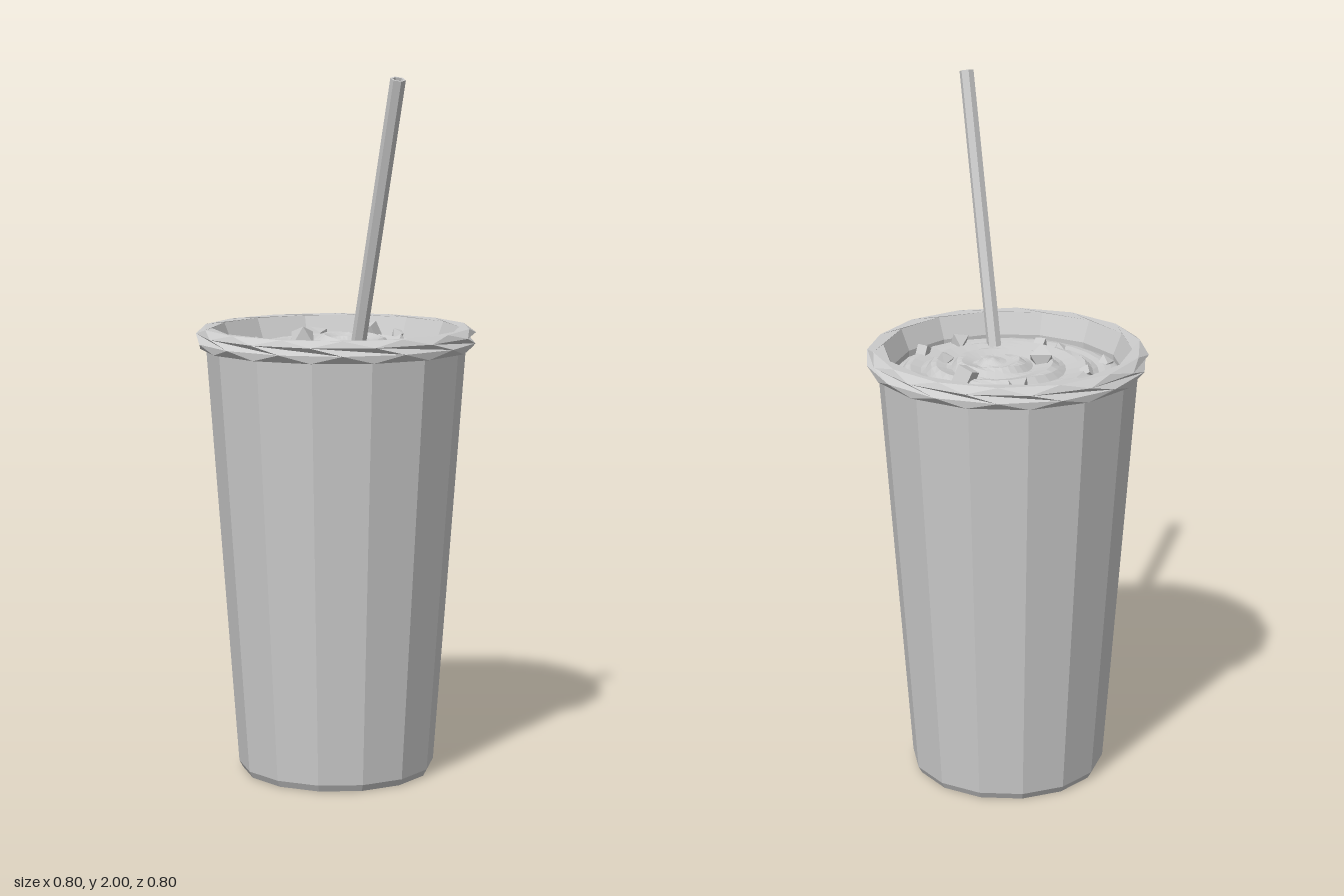
import * as THREE from 'three';

const SIDES = 14;
const material = new THREE.MeshStandardMaterial({ color: 0xcccccc, flatShading: true, side: THREE.DoubleSide });

function add(group, name, geometry) {
  const mesh = new THREE.Mesh(geometry, material);
  mesh.name = name;
  group.add(mesh);
  return mesh;
}

// Surface through rings of points; at(ring, turn) gives [x, y, z]
function rings(count, sides, at) {
  const pos = [], index = [];
  for (let i = 0; i < count; i++)
    for (let j = 0; j < sides; j++) pos.push(...at(i, (j / sides) * Math.PI * 2));
  for (let i = 0; i < count - 1; i++)
    for (let j = 0; j < sides; j++) {
      const a = i * sides + j, b = i * sides + (j + 1) % sides;
      index.push(a, b, a + sides, b, b + sides, a + sides);
    }
  const g = new THREE.BufferGeometry();
  g.setAttribute('position', new THREE.Float32BufferAttribute(pos, 3));
  g.setIndex(index);
  g.computeVertexNormals();
  return g;
}

// Height of the swirled cream: a low mound with a spiral step
function creamHeight(t, angle) {
  const turn = t * 4 + angle / (Math.PI * 2);
  const saw = turn - Math.floor(turn);
  const ridge = saw < 0.7 ? saw / 0.7 : (1 - saw) / 0.3;
  const fade = Math.min(1, t * 5) * Math.min(1, (1 - t) * 6);
  return 1.205 + 0.05 * (1 - t) + 0.022 * ridge * fade + 0.015 * Math.max(0, 1 - t * 8);
}

export function createModel() {
  const group = new THREE.Group();

  // Tapered cup with a small chamfer at the foot
  const cup = [[0, 0], [0.272, 0], [0.283, 0.02], [0.372, 1.24]];
  add(group, 'cup', new THREE.LatheGeometry(cup.map(p => new THREE.Vector2(...p)), SIDES));

  // Faceted lip; alternate rings are turned by half a side
  const lip = [
    [0.36, 1.235, 0], [0.388, 1.228, 0], [0.4, 1.25, 0.5], [0.4, 1.272, 0],
    [0.382, 1.29, 0.5], [0.354, 1.287, 0], [0.328, 1.225, 0], [0.33, 1.195, 0],
  ];
  add(group, 'lip', rings(lip.length, SIDES, (i, a) => {
    const [r, y, twist] = lip[i];
    const t = a + twist * Math.PI * 2 / SIDES;
    return [Math.sin(t) * r, y, Math.cos(t) * r];
  }));

  // Swirled cream, its peak set a little to the back
  const steps = 20;
  add(group, 'creamSwirl', rings(steps + 1, 2 * SIDES, (i, a) => {
    const t = 1 - i / steps, r = 0.335 * t;
    return [Math.sin(a) * r, creamHeight(t, a), Math.cos(a) * r - 0.06 * (1 - t)];
  }));

  // Crumbs scattered over the cream: x, z, radius
  const crumbs = [
    [0.005, -0.3, 0.025], [-0.025, -0.2, 0.037], [-0.165, -0.135, 0.037], [0.145, -0.105, 0.028],
    [0.265, -0.07, 0.024], [0.255, 0.07, 0.033], [-0.075, 0.06, 0.045], [-0.21, 0.1, 0.022],
    [-0.16, 0.24, 0.028], [0.005, 0.23, 0.023], [0.065, 0.21, 0.028],
  ];
  crumbs.forEach(([x, z, r], i) => {
    const t = Math.hypot(x, z + 0.04) / 0.335;
    const shape = i % 3 === 1 ? new THREE.BoxGeometry(r * 1.3, r * 1.1, r * 1.3) : new THREE.OctahedronGeometry(r);
    const crumb = add(group, 'crumb', shape);
    crumb.position.set(x, creamHeight(Math.min(1, t), Math.atan2(x, z) + Math.PI * 2) + r * 0.2, z);
    crumb.rotation.set(0.5 + i * 0.7, i * 1.9, 0.3 + i * 0.4);
    crumb.scale.setScalar(i % 3 === 1 ? 1 : 0.97);
  });

  // Hollow hexagonal straw leaning out to the front corner
  const from = new THREE.Vector3(0.13, 1.18, 0.093), to = new THREE.Vector3(0.368, 1.994, 0.226);
  const wall = [[0.015, -0.5], [0.021, -0.5], [0.021, 0.5], [0.015, 0.5], [0.015, 0.44], [0, 0.44]];
  const length = from.distanceTo(to);
  const straw = add(group, 'straw', new THREE.LatheGeometry(wall.map(([r, y]) => new THREE.Vector2(r, y * length)), 6));
  straw.position.copy(from).lerp(to, 0.5);
  straw.quaternion.setFromUnitVectors(new THREE.Vector3(0, 1, 0), to.clone().sub(from).normalize());

  return group;
}
